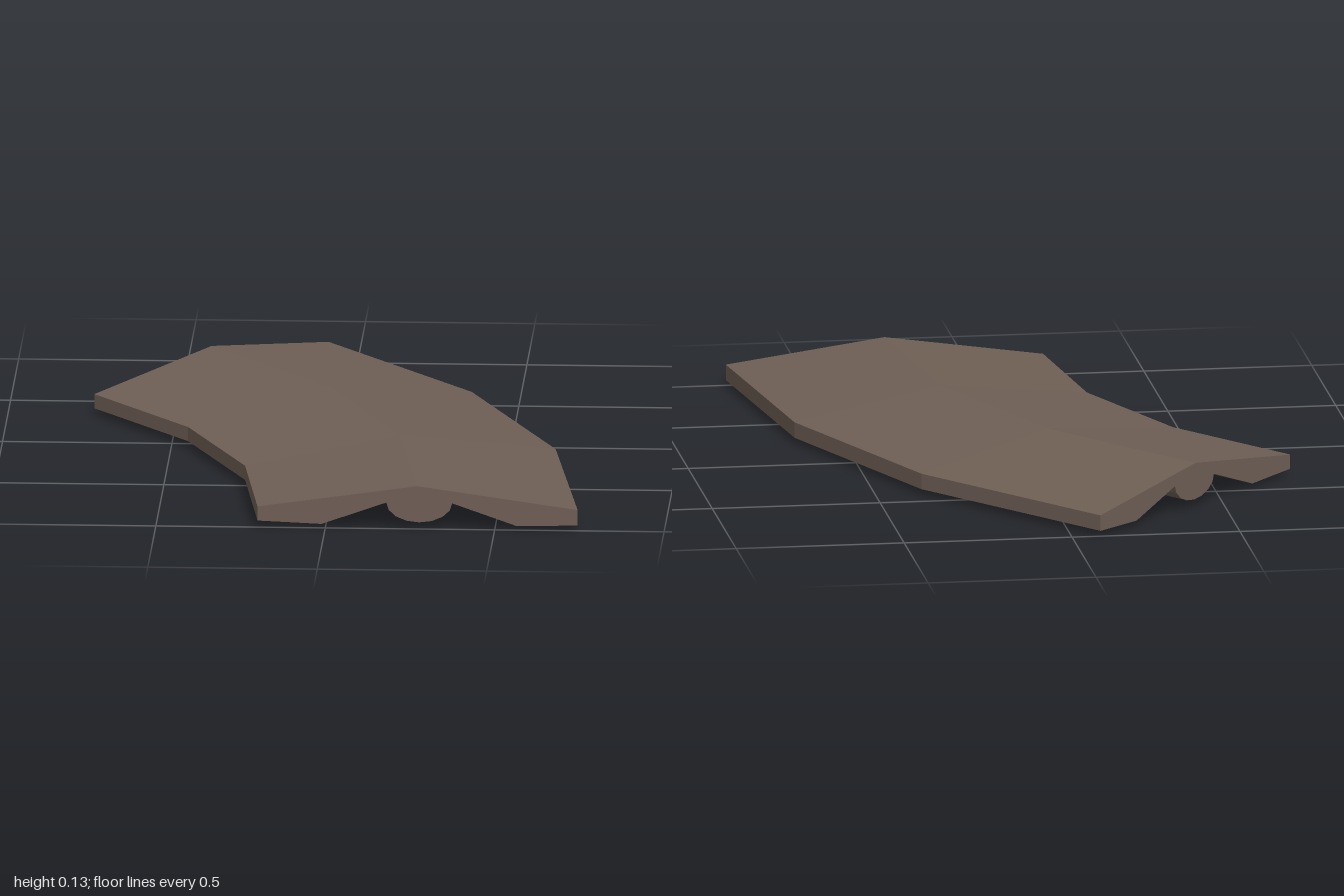
import * as THREE from 'three';

// Mitre lines of the curved roof, front to back: [left x, z, right x, z] as seen from the front
const MITRES = [
  [-0.20, 1.00, 0.745, 1.00],
  [-0.26, 0.51, 0.645, 0.265],
  [-0.45, 0.05, 0.365, -0.415],
  [-0.745, -0.335, -0.085, -1.00],
];

// Point at station s (0..3), fraction t across the width, height y
function place(s, t, y) {
  const i = Math.min(Math.floor(s), MITRES.length - 2);
  const m = MITRES[i].map((v, k) => THREE.MathUtils.lerp(v, MITRES[i + 1][k], s - i));
  return [THREE.MathUtils.lerp(m[0], m[2], t), y, THREE.MathUtils.lerp(m[1], m[3], t)];
}

// Sweep closed counter-clockwise [t, y] profiles through the stations, with end caps
function sweep(name, material, stations, profileAt) {
  const profiles = stations.map((s, i) => profileAt(i));
  const rings = profiles.map((p, i) => p.map(([t, y]) => place(stations[i], t, y)));
  const pos = [];
  const tri = (a, b, c) => pos.push(...a, ...b, ...c);
  const n = rings[0].length;
  for (let i = 0; i < rings.length - 1; i++) {
    for (let j = 0; j < n; j++) {
      const k = (j + 1) % n;
      const [p, q] = [rings[i], rings[i + 1]];
      tri(p[j], q[j], p[k]);
      tri(p[k], q[j], q[k]);
    }
  }
  const cap = (i, flip) => {
    const pts = profiles[i].map(([t, y]) => new THREE.Vector2(t, y));
    for (const [a, b, c] of THREE.ShapeUtils.triangulateShape(pts, [])) {
      const r = rings[i];
      if (flip) tri(r[a], r[c], r[b]);
      else tri(r[a], r[b], r[c]);
    }
  };
  cap(0, false);
  cap(rings.length - 1, true);
  const geo = new THREE.BufferGeometry();
  geo.setAttribute('position', new THREE.Float32BufferAttribute(pos, 3));
  geo.computeVertexNormals();
  const mesh = new THREE.Mesh(geo, material);
  mesh.name = name;
  return mesh;
}

// Half-round beam section hanging under the ridge
function beam(radius, depth) {
  const pts = [];
  for (let i = 0; i <= 8; i++) {
    const a = Math.PI * (1 + i / 8);
    pts.push([0.505 + radius * Math.cos(a), 0.08 + depth * Math.sin(a)]);
  }
  pts.push([0.505 + radius, 0.09], [0.505 - radius, 0.09]);
  return pts;
}

export function createModel() {
  const group = new THREE.Group();
  group.name = 'curvedRoof';
  const brown = new THREE.MeshStandardMaterial({ color: 0x6f5f55 });
  brown.name = 'brown';

  // Gabled slab with a hollow underside
  const slab = [
    [0, 0.02], [0.2, 0.012], [0.405, 0.08], [0.605, 0.08], [0.81, 0.012],
    [1, 0.016], [1, 0.063], [0.5, 0.13], [0, 0.063],
  ];
  group.add(sweep('roofSlab', brown, [0, 1, 2, 3], () => slab));

  // Ridge beam
  group.add(sweep('ridgeBeam', brown, [0, 1, 2, 3], () => beam(0.103, 0.06)));

  // V-shaped seams at the two bends: a ring on the beam and a rib on each slope
  for (const s of [1, 2]) {
    const span = [s - 0.03, s, s + 0.03];
    group.add(sweep('beamRing', brown, span,
      (i) => (i === 1 ? beam(0.118, 0.08) : beam(0.102, 0.059))));
    const drop = (i) => (i === 1 ? 0.008 : -0.002);
    group.add(sweep('leftSeam', brown, span, (i) => [
      [0.22, 0.019 - drop(i)], [0.405, 0.08 - drop(i)], [0.405, 0.09], [0.22, 0.029],
    ]));
    group.add(sweep('rightSeam', brown, span, (i) => [
      [0.605, 0.08 - drop(i)], [0.79, 0.019 - drop(i)], [0.79, 0.029], [0.605, 0.09],
    ]));
  }
  return group;
}
